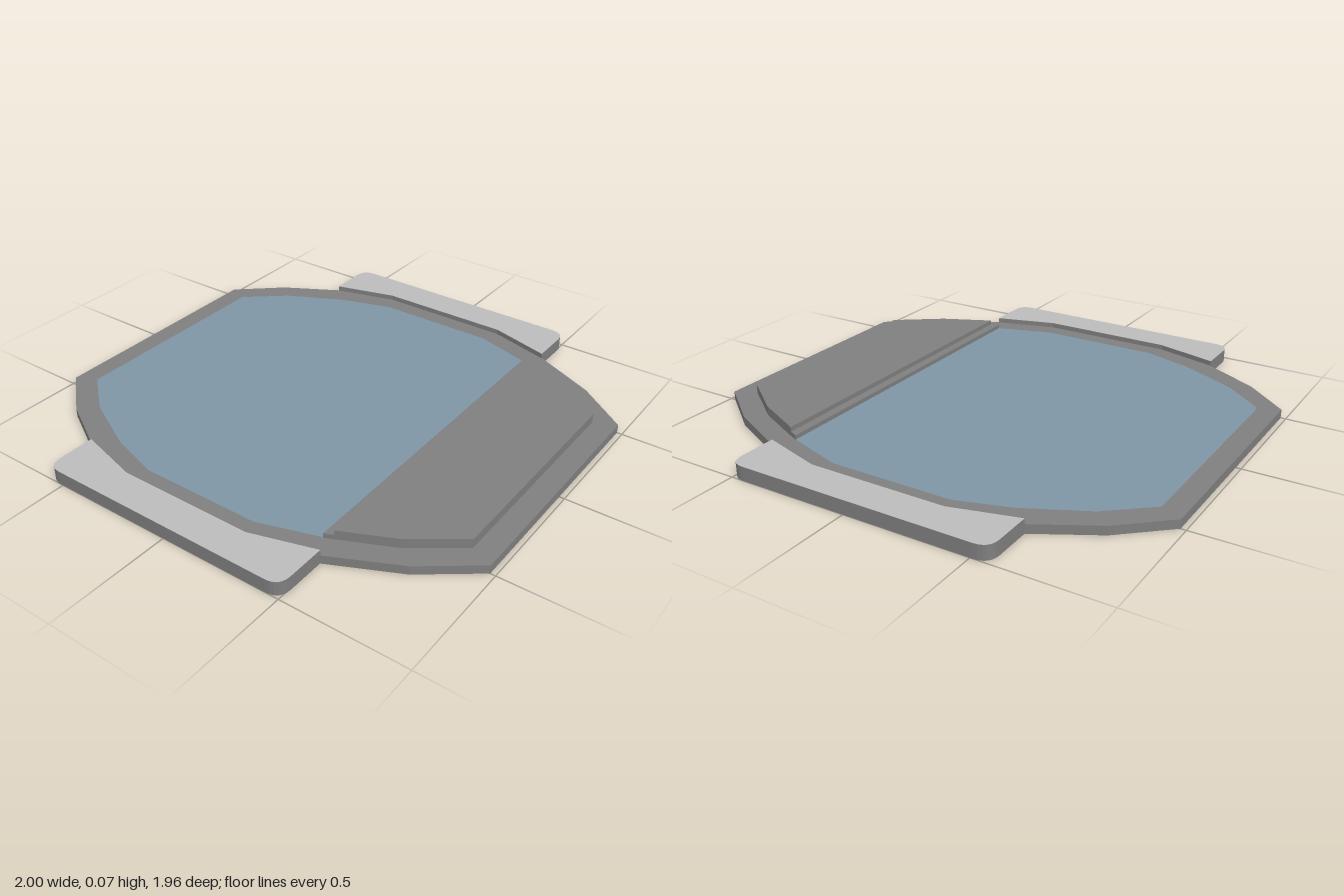
import * as THREE from 'three';

const material = (name, color, extra = {}) => {
  const m = new THREE.MeshStandardMaterial({ color, ...extra });
  m.name = name;
  return m;
};

// Mirrors a right-hand outline (x, z pairs running back to front) into a closed plan shape
function mirroredShape(half) {
  const all = [...half, ...half.map(([x, z]) => [-x, z]).reverse()];
  return new THREE.Shape(all.map(([x, z]) => new THREE.Vector2(x, -z)));
}

// Side wing plan: rounded outer corners, inner edge following the base plate
function wingShape(s) {
  const r = 0.06, back = 0.57, front = -0.505;
  const shape = new THREE.Shape();
  shape.moveTo(s * 0.79, back);
  shape.lineTo(s * (1 - r), back);
  shape.quadraticCurveTo(s, back, s, back - r);
  shape.lineTo(s, front + r);
  shape.quadraticCurveTo(s, front, s * (1 - r), front);
  shape.lineTo(s * 0.785, front);
  shape.lineTo(s * 0.86, -0.25);
  shape.lineTo(s * 0.86, 0.31);
  shape.closePath();
  return shape;
}

export function createModel() {
  const model = new THREE.Group();
  model.name = 'hatchPanel';
  const grey = material('frameGrey', 0x7f7f7f);
  const light = material('wingLightGrey', 0xbcbcbc);
  const blue = material('panelBlue', 0x7f96a6);

  const add = (name, geometry, mat, y) => {
    geometry.rotateX(-Math.PI / 2);
    const mesh = new THREE.Mesh(geometry, mat);
    mesh.name = name;
    mesh.position.y = y;
    model.add(mesh);
  };
  const slab = (name, shape, y0, y1, mat) => add(name,
    new THREE.ExtrudeGeometry(shape, { depth: y1 - y0, bevelEnabled: false, curveSegments: 6 }), mat, y0);
  const sheet = (name, shape, y, mat) => add(name, new THREE.ShapeGeometry(shape, 6), mat, y);

  // Base plate
  slab('basePlate', mirroredShape([
    [0.5, -0.98], [0.66, -0.8], [0.79, -0.57], [0.86, -0.31],
    [0.86, 0.25], [0.79, 0.5], [0.66, 0.77], [0.5, 0.98],
  ]), 0, 0.035, grey);

  // Inset blue panel
  sheet('bluePanel', mirroredShape([
    [0.46, -0.895], [0.6, -0.73], [0.72, -0.49], [0.785, -0.28],
    [0.785, 0.22], [0.71, 0.46],
  ]), 0.037, blue);

  // Raised front cover with a lower step along its back edge
  slab('coverStep', mirroredShape([[0.71, 0.46], [0.695, 0.495]]), 0.035, 0.054, grey);
  slab('frontCover', mirroredShape([
    [0.695, 0.495], [0.6, 0.7], [0.46, 0.89],
  ]), 0.035, 0.073, grey);

  // Side wings with light top faces
  for (const [side, s] of [['left', 1], ['right', -1]]) {
    slab(side + 'Wing', wingShape(s), 0, 0.055, grey);
    sheet(side + 'WingTop', wingShape(s), 0.0565, light);
  }
  return model;
}
